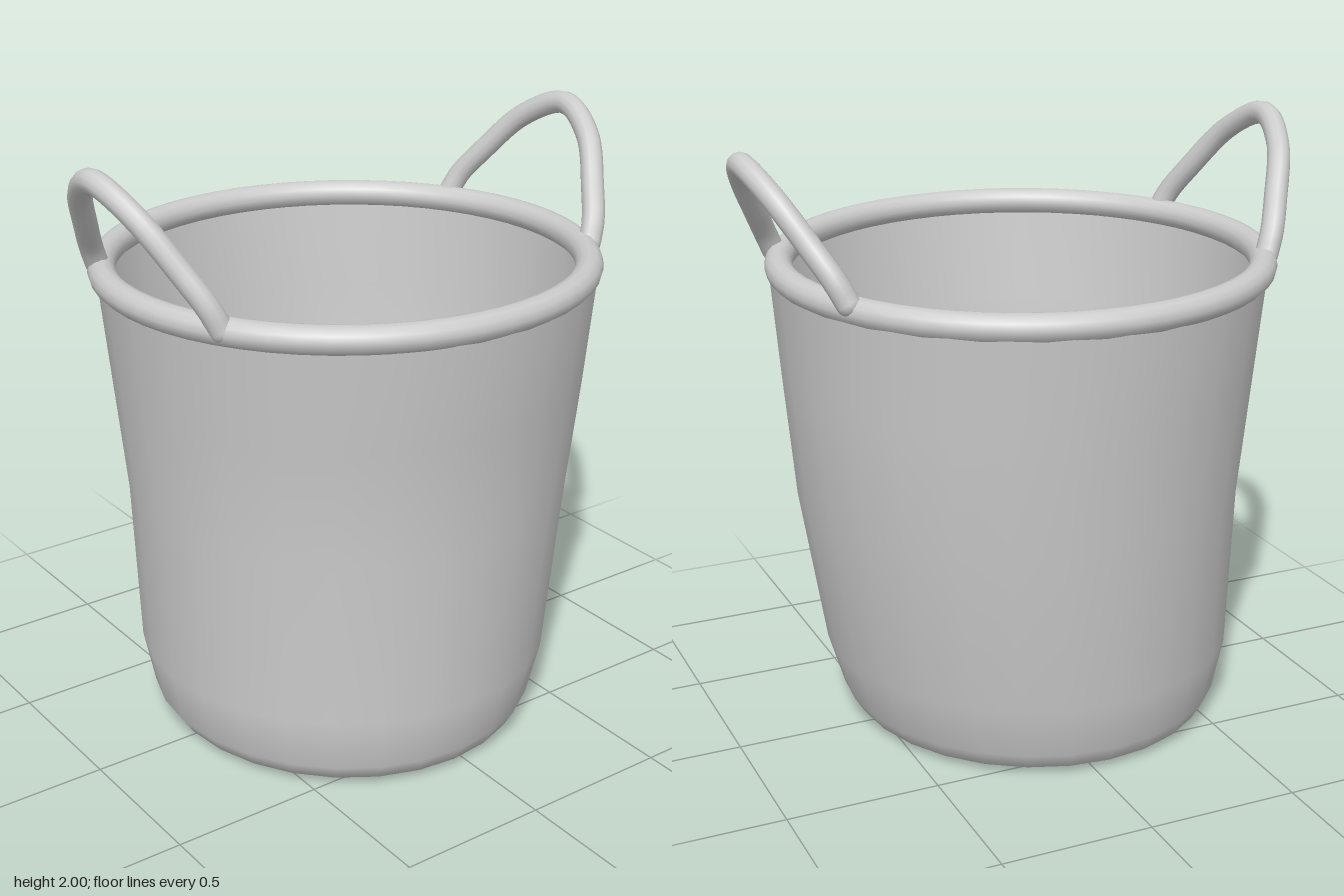
import * as THREE from 'three';

const grey = new THREE.MeshStandardMaterial({ color: 0xcccccc });
const greyThin = new THREE.MeshStandardMaterial({ color: 0xcccccc, side: THREE.DoubleSide });

// the rim plane leans slightly to the back and to the left hand
const rimY = (x, z) => 1.556 - 0.008 * x + 0.018 * z;

// skin of elliptical rings: [y, xMin, xMax, zMin, zMax]
function ringSkin(rings, sides) {
  const pos = [], index = [];
  rings.forEach(([y, x0, x1, z0, z1], r) => {
    const top = r === rings.length - 1;
    for (let i = 0; i < sides; i++) {
      const a = (i / sides) * Math.PI * 2;
      const x = (x0 + x1) / 2 + Math.cos(a) * (x1 - x0) / 2;
      const z = (z0 + z1) / 2 + Math.sin(a) * (z1 - z0) / 2;
      pos.push(x, top ? rimY(x, z) : y, z);
      if (top) continue;
      const p = r * sides + i, q = r * sides + (i + 1) % sides;
      index.push(p, p + sides, q, q, p + sides, q + sides);
    }
  });
  const g = new THREE.BufferGeometry();
  g.setAttribute('position', new THREE.Float32BufferAttribute(pos, 3));
  g.setIndex(index);
  g.computeVertexNormals();
  return g;
}

function add(group, name, geometry, material = grey) {
  const m = new THREE.Mesh(geometry, material);
  m.name = name;
  group.add(m);
  return m;
}

// arched tube handle with rounded ends; side is -1 or 1
function handle(name, side, foot, apex) {
  const g = new THREE.Group();
  g.name = name;
  // [z, share of the height, share of the outward lean]
  const half = [[0.365, 0, 0], [0.345, 0.17, 0.15], [0.285, 0.41, 0.39], [0.165, 0.8, 0.79]];
  const place = ([z, h, lean]) => new THREE.Vector3(
    side * THREE.MathUtils.lerp(foot[0], apex[0], lean),
    THREE.MathUtils.lerp(foot[1], apex[1], h), z);
  const mirrored = half.map(([z, h, l]) => [-z, h, l]).reverse();
  const pts = [...half, [0, 1, 1], ...mirrored].map(place);
  add(g, 'handleArch', new THREE.TubeGeometry(new THREE.CatmullRomCurve3(pts), 40, 0.038, 12));
  for (const p of [pts[0], pts[pts.length - 1]]) {
    add(g, 'handleEnd', new THREE.SphereGeometry(0.038, 12, 8)).position.copy(p);
  }
  return g;
}

export function createModel() {
  const model = new THREE.Group();
  model.name = 'basket';

  // thin wall with a soft, slightly sagging outline and a flat floor
  add(model, 'basketBody', ringSkin([
    [0, -0.05, -0.05, 0.015, 0.015],
    [0, -0.56, 0.46, -0.53, 0.56],
    [0.005, -0.61, 0.51, -0.58, 0.61],
    [0.025, -0.655, 0.555, -0.615, 0.655],
    [0.08, -0.69, 0.59, -0.645, 0.685],
    [0.26, -0.725, 0.645, -0.685, 0.715],
    [0.8, -0.735, 0.74, -0.735, 0.715],
    [1.2, -0.775, 0.773, -0.775, 0.765],
    [1.56, -0.81, 0.8, -0.81, 0.805],
  ], 28), greyThin);

  // rolled rim
  const rimPts = [];
  for (let i = 0; i < 24; i++) {
    const a = (i / 24) * Math.PI * 2;
    const x = -0.013 + 0.78 * Math.cos(a), z = -0.003 + 0.775 * Math.sin(a);
    rimPts.push(new THREE.Vector3(x, rimY(x, z), z));
  }
  add(model, 'rim', new THREE.TubeGeometry(
    new THREE.CatmullRomCurve3(rimPts, true), 56, 0.045, 12, true));

  model.add(handle('rightHandle', -1, [0.715, 1.575], [0.905, 1.96]));
  model.add(handle('leftHandle', 1, [0.705, 1.57], [0.9, 1.93]));
  return model;
}
